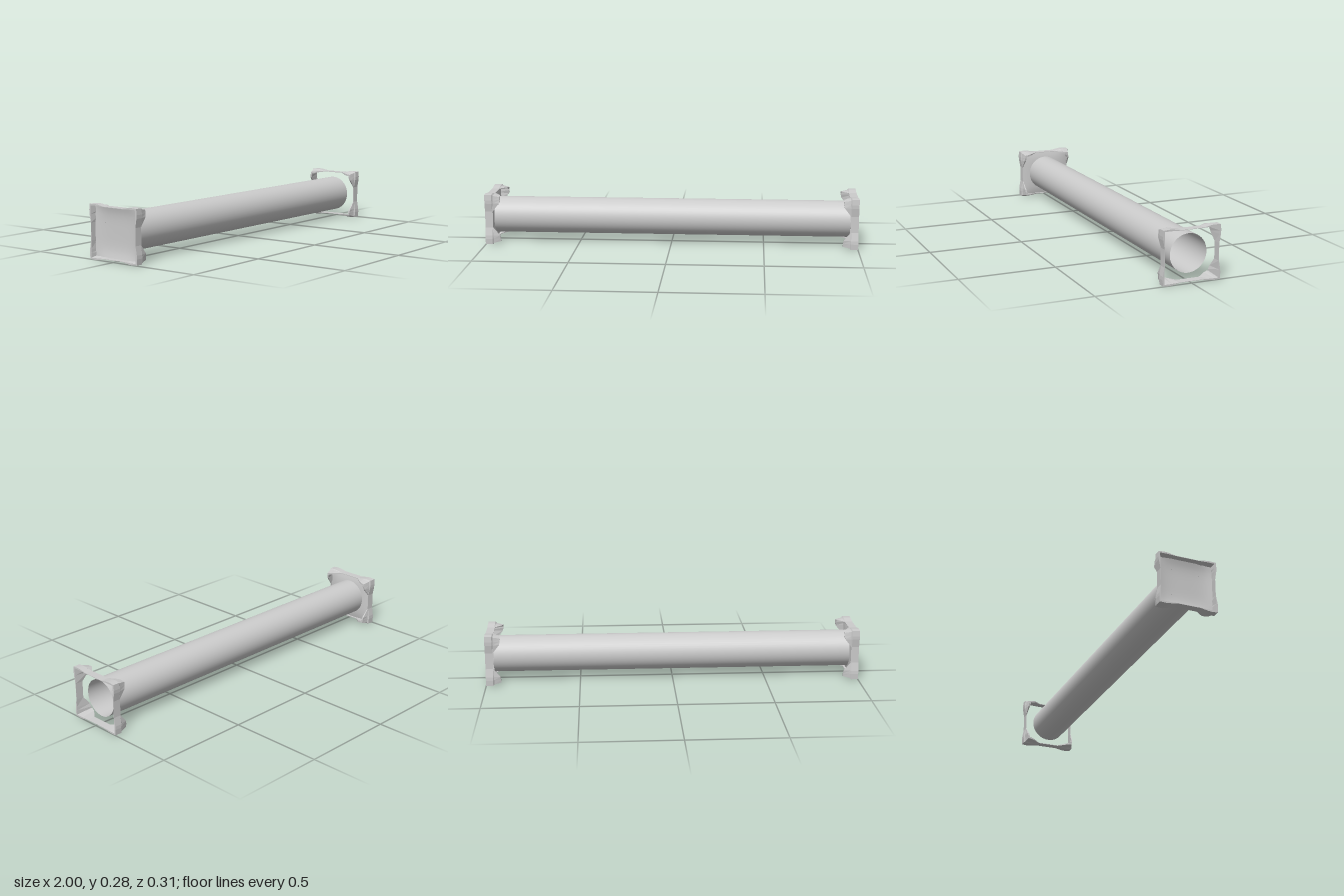
import * as THREE from 'three';

const H = 0.136, W = 0.152, CENTER_Y = 0.138; // half height and width of the end frames

// Section stations: distance from corner, outer offset, inner offset at the rim,
// inner offset at the back, depth, bevel strength
const STATIONS = [
  [0, 0, -0.007, -0.022, 0.08, 1],
  [0.03, 0.002, -0.007, -0.022, 0.08, 1],
  [0.048, 0.001, -0.007, -0.017, 0.076, 0.7],
  [0.092, -0.007, -0.009, -0.010, 0.042, 0],
];

// One side of the frame: a loop section swept from corner to corner, mitred at both ends
function wallGeometry(k) {
  const [hn, ht] = k % 2 ? [W, H] : [H, W];
  const c = Math.round(Math.cos(k * Math.PI / 2)), s = Math.round(Math.sin(k * Math.PI / 2));
  const pos = [], index = [];
  const rings = [
    ...STATIONS.map(st => [-1, st]),
    ...[...STATIONS].reverse().map(st => [1, st]),
  ];
  const N = 6;
  rings.forEach(([side, [d, o, i0, i1, depth, bevel]], j) => {
    const loop = [
      [0, o], [0.038, o],
      [0.04 + 0.004 * bevel, o - 0.006 * bevel],
      [depth, o - 0.014 * bevel], [depth, i1], [0, i0],
    ];
    loop.forEach(([x, off], p) => {
      const n = hn + off;
      const t = side * (d === 0 ? ht + off : ht - d);
      pos.push(1 - x, n * c - t * s, n * s + t * c);
      if (j < rings.length - 1) {
        const a = j * N + p, b = j * N + (p + 1) % N;
        index.push(a, b, b + N, a, b + N, a + N);
      }
    });
  });
  const g = new THREE.BufferGeometry();
  g.setAttribute('position', new THREE.Float32BufferAttribute(pos, 3));
  g.setIndex(index);
  const flat = g.toNonIndexed();
  flat.computeVertexNormals();
  return flat;
}

function endFrame(name, material) {
  const group = new THREE.Group();
  group.name = name;
  for (let k = 0; k < 4; k++) {
    const wall = new THREE.Mesh(wallGeometry(k), material);
    wall.name = 'frameSide';
    group.add(wall);
  }
  return group;
}

export function createModel() {
  const model = new THREE.Group();
  model.name = 'tubeWithEndFrames';
  const smooth = new THREE.MeshStandardMaterial({ color: 0xcccccc, side: THREE.DoubleSide });
  const faceted = new THREE.MeshStandardMaterial({ color: 0xcccccc, side: THREE.DoubleSide, flatShading: true });

  // Open tube along x
  const tube = new THREE.Mesh(new THREE.CylinderGeometry(0.098, 0.098, 1.92, 48, 1, true), smooth);
  tube.name = 'tube';
  tube.rotation.z = Math.PI / 2;
  model.add(tube);

  // Frames at both ends
  model.add(endFrame('leftFrame', faceted));
  const rightFrame = endFrame('rightFrame', faceted);
  rightFrame.rotation.y = Math.PI;
  model.add(rightFrame);

  // Gently domed plate closing one end
  const plateGeo = new THREE.PlaneGeometry(0.286, 0.256, 12, 12);
  const p = plateGeo.attributes.position;
  for (let i = 0; i < p.count; i++) {
    const u = p.getX(i) / 0.143, v = p.getY(i) / 0.128;
    p.setZ(i, 0.012 * (1 - u ** 4) * (1 - v ** 4));
  }
  plateGeo.computeVertexNormals();
  const plate = new THREE.Mesh(plateGeo, smooth);
  plate.name = 'endPlate';
  plate.rotation.y = Math.PI / 2;
  plate.position.x = -0.97;
  model.add(plate);

  model.children.forEach(part => { part.position.y = CENTER_Y; });
  return model;
}
